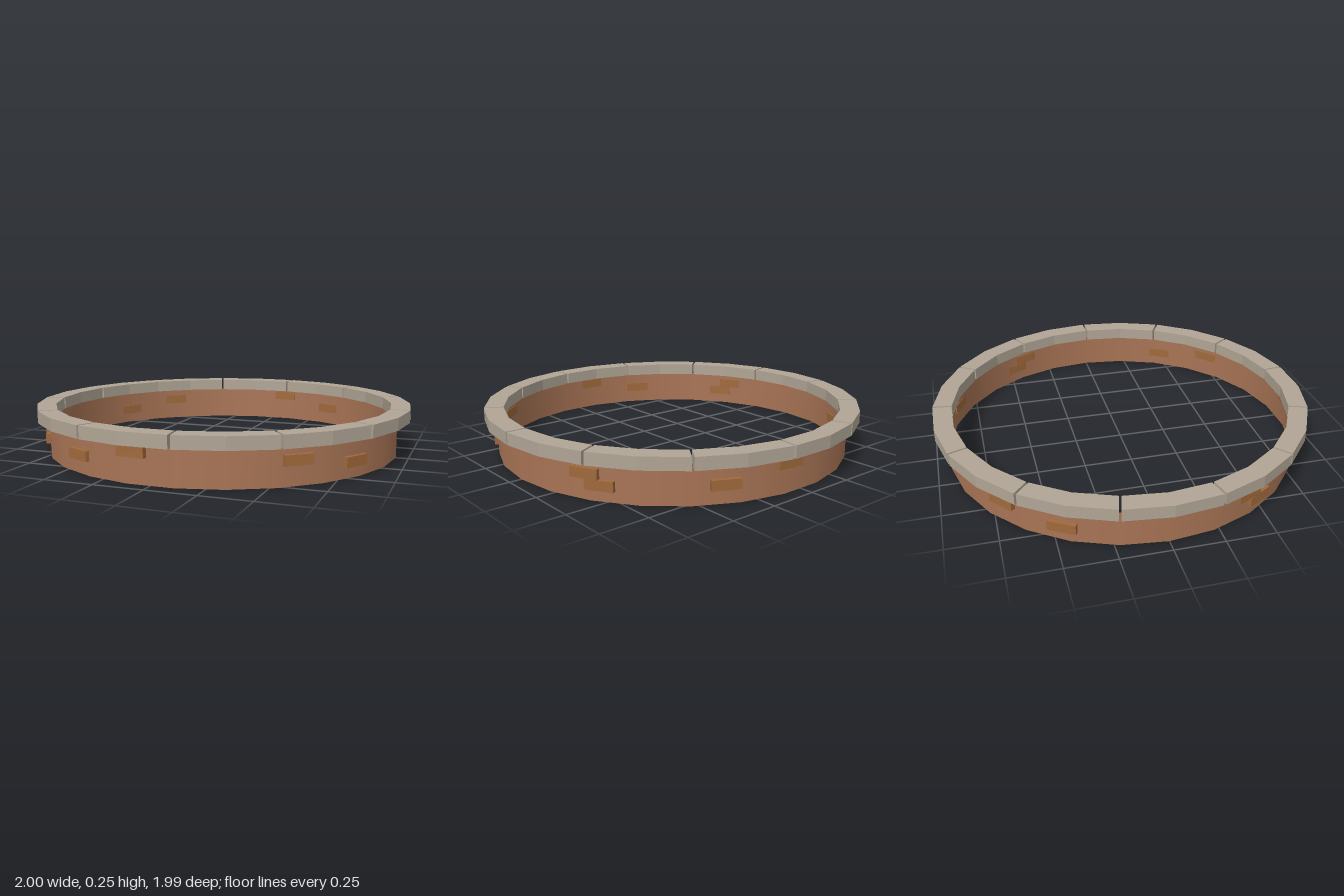
import * as THREE from 'three';

const STONES = 13;
const CAP_BOTTOM = 0.185, CAP_TOP = 0.248;
const CAP_OUTER = 1, CAP_INNER = 0.9;
const WALL_RADIUS = 0.937;

// One coping stone: two straight segments of the ring, with a thin joint at each end
function stoneGeometry() {
  const step = (Math.PI * 2) / STONES;
  const joint = 0.006;
  const angles = [joint, step / 2, step - joint];
  const at = (r, a) => new THREE.Vector2(r * Math.cos(a), r * Math.sin(a));
  const shape = new THREE.Shape([
    ...angles.map((a) => at(CAP_OUTER, a)),
    ...angles.map((a) => at(CAP_INNER, a)).reverse(),
  ]);
  const geometry = new THREE.ExtrudeGeometry(shape, { depth: CAP_TOP - CAP_BOTTOM, bevelEnabled: false });
  return geometry.rotateX(-Math.PI / 2);
}

export function createModel() {
  const model = new THREE.Group();
  model.name = 'roundWall';

  const stoneMaterial = new THREE.MeshStandardMaterial({ color: 0xb0a595, flatShading: true });
  const wallMaterial = new THREE.MeshStandardMaterial({ color: 0xa87455, side: THREE.DoubleSide });
  const brickMaterial = new THREE.MeshStandardMaterial({ color: 0xa06a3c });

  // Thin open wall
  const wallGeometry = new THREE.CylinderGeometry(WALL_RADIUS, WALL_RADIUS, CAP_BOTTOM, STONES * 2, 1, true);
  wallGeometry.rotateY(Math.PI / 2);
  const wall = new THREE.Mesh(wallGeometry, wallMaterial);
  wall.name = 'wall';
  wall.position.y = CAP_BOTTOM / 2;
  model.add(wall);

  // Ring of coping stones
  const coping = new THREE.Group();
  coping.name = 'coping';
  const stone = stoneGeometry();
  for (let i = 0; i < STONES; i++) {
    const mesh = new THREE.Mesh(stone, stoneMaterial);
    mesh.name = 'copingStone';
    mesh.position.y = CAP_BOTTOM;
    mesh.rotation.y = (i * Math.PI * 2) / STONES;
    coping.add(mesh);
  }
  model.add(coping);

  // Raised bricks: [degrees from the front, height], repeated on the opposite side
  const bricks = new THREE.Group();
  bricks.name = 'raisedBricks';
  const brick = new THREE.BoxGeometry(0.14, 0.05, 0.025);
  brick.translate(0, 0, 0.9405);
  const places = [[-64, 0.13], [-59.5, 0.08], [-25.2, 0.095], [-5.4, 0.15], [40.5, 0.122], [60, 0.08]];
  for (const [degrees, y] of places) {
    for (const turn of [0, 180]) {
      const mesh = new THREE.Mesh(brick, brickMaterial);
      mesh.name = 'raisedBrick';
      mesh.position.y = y;
      mesh.rotation.y = THREE.MathUtils.degToRad(degrees + turn);
      bricks.add(mesh);
    }
  }
  model.add(bricks);

  return model;
}
